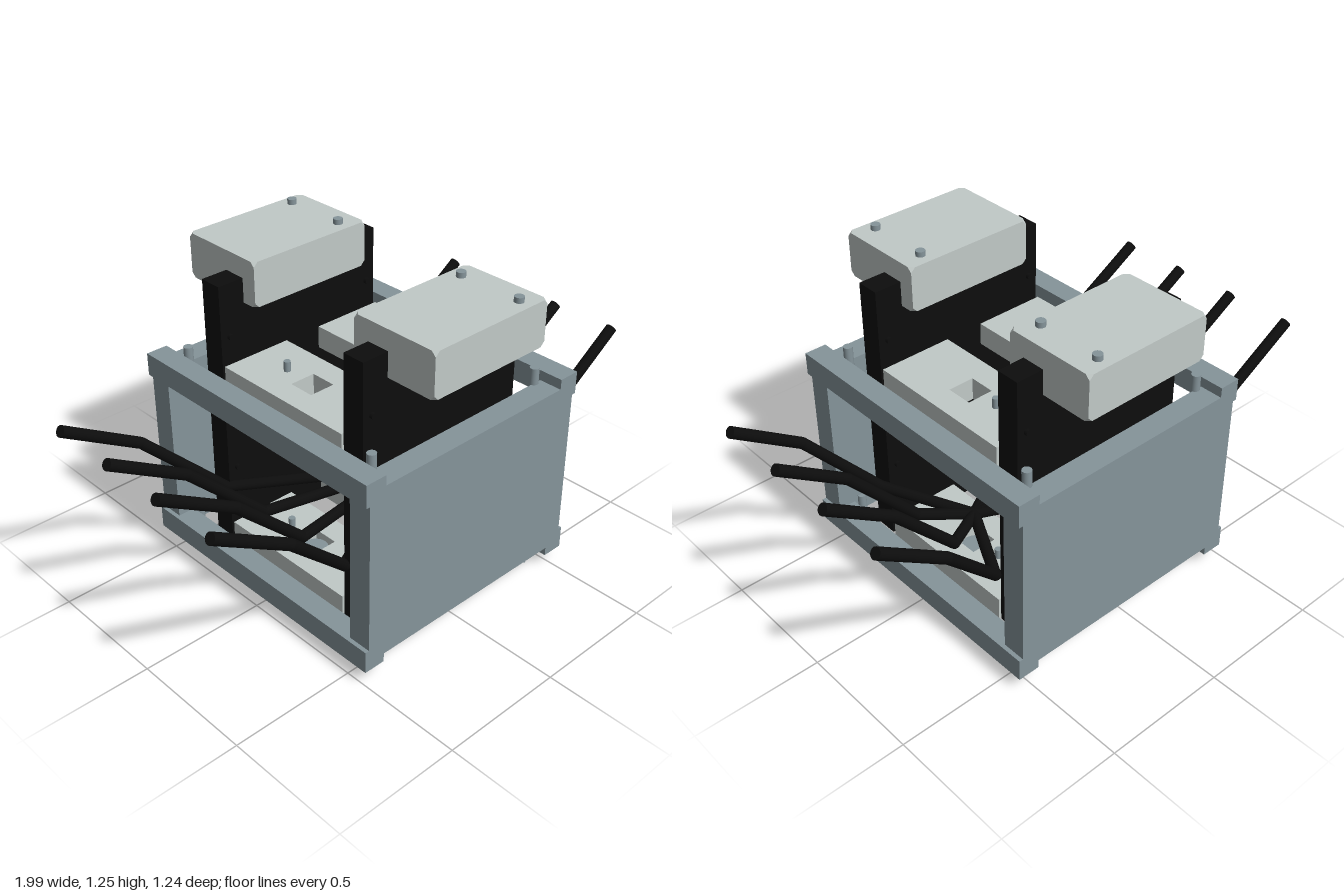
import * as THREE from 'three';
import { ConvexGeometry } from 'three/addons/geometries/ConvexGeometry.js';

const frameGrey = new THREE.MeshStandardMaterial({ name: 'frame grey', color: 0x85949a });
const paleGrey = new THREE.MeshStandardMaterial({ name: 'pale grey', color: 0xc1c9c7 });
const black = new THREE.MeshStandardMaterial({ name: 'black', color: 0x0d0d0d });

const CX = 0.0275; // middle of the frame in x

export function createModel() {
  const model = new THREE.Group();
  model.name = 'framedMechanism';

  const add = (name, geometry, material) => {
    const mesh = new THREE.Mesh(geometry, material);
    mesh.name = name;
    model.add(mesh);
    return mesh;
  };
  // Box given by its limits on each axis
  const box = (name, material, x0, x1, y0, y1, z0, z1) =>
    add(name, new THREE.BoxGeometry(x1 - x0, y1 - y0, z1 - z0), material)
      .position.set((x0 + x1) / 2, (y0 + y1) / 2, (z0 + z1) / 2);
  // Upright cylinder from y0 to y1
  const post = (name, material, r, x, y0, y1, z, sides = 20) =>
    add(name, new THREE.CylinderGeometry(r, r, y1 - y0, sides), material)
      .position.set(x, (y0 + y1) / 2, z);

  // Four long side rails
  for (const side of [-1, 1]) {
    const x = CX + side * 0.48;
    for (const y of [0.055, 0.75]) {
      box('sideRail', frameGrey, x - 0.044, x + 0.044, y, y + 0.09, -0.585, 0.585);
    }
  }

  for (const s of [-1, 1]) {
    // Thick end panels
    const panelZ = [0.49 * s, 0.585 * s].sort((a, b) => a - b);
    box('endPanel', frameGrey, -0.48, 0.535, 0.09, 0.8, ...panelZ);

    // Corner bolts, heads downward
    for (const x of [-0.38, 0.43]) {
      for (const [y0, y1] of [[0, 0.165], [0.7, 0.865]]) {
        post('boltHead', frameGrey, 0.032, x, y0, y0 + 0.025, s * 0.487, 6);
        post('boltShaft', frameGrey, 0.018, x, y0 + 0.02, y1, s * 0.487);
      }
    }

    // Tall black boards with through pins near their edges
    const boardZ = [0.322 * s, 0.414 * s].sort((a, b) => a - b);
    box('uprightBoard', black, -0.35, 0.405, 0.06, 1.155, ...boardZ);
    for (const x of [-0.31, 0.365]) {
      for (const y of [0.195, 0.383, 0.57, 0.945]) {
        const pin = add('boardPin', new THREE.CylinderGeometry(0.012, 0.012, 0.118, 12), black);
        pin.rotation.x = Math.PI / 2;
        pin.position.set(x, y, s * 0.368);
      }
    }

    // Head blocks with clipped corners, and their screws
    add('headBlock', clippedBox(0.535, 0.177, 0.366, 0.018), paleGrey)
      .position.set(0.0275, 1.146, s * 0.439);
    for (const z of [0.31, 0.57]) {
      post('headScrew', frameGrey, 0.018, 0.21, 1.225, 1.255, s * z);
    }
  }

  // Two plates above and two below, each with a square opening and a pin
  for (const [x0, x1] of [[-0.35, -0.055], [0.105, 0.405]]) {
    const cx = (x0 + x1) / 2;
    for (const y of [0.055, 0.75]) {
      add('slottedPlate', slottedPlate(x1 - x0, 0.62, 0.09, 0.105), paleGrey)
        .position.set(cx, y, 0);
      post('platePin', frameGrey, 0.013, cx, y + 0.08, y + 0.13, -0.135);
    }
    // Hollow boss and two screws under the lower plate
    const ring = [[0.042, 0.1], [0.042, 0.025], [0.066, 0.025], [0.066, 0.056]]
      .map(([r, y]) => new THREE.Vector2(r, y));
    add('bossRing', new THREE.LatheGeometry(ring, 32).toNonIndexed(), ringMaterial()).position.x = cx;
    post('bossCore', frameGrey, 0.05, cx, 0.075, 0.12, 0, 32);
    for (const s of [-1, 1]) post('bossScrew', frameGrey, 0.02, cx, 0.048, 0.06, s * 0.1);
  }

  // Eight bent legs meeting at one hub
  const hub = new THREE.Vector3(0.255, 0.272, 0);
  for (const s of [-1, 1]) {
    for (const [zOut, zIn] of [[0.413, 0.333], [0.135, 0.108]]) {
      for (const [tip, knee, ankle] of [[-0.985, -0.67, -0.36], [0.985, 0.71, 0.44]]) {
        const path = [
          new THREE.Vector3(tip, 0.793, s * zOut),
          new THREE.Vector3(knee, 0.606, s * zOut),
          new THREE.Vector3(ankle, 0.307, s * zIn),
          hub,
        ];
        add2(model, path, 0.022);
      }
    }
  }
  return model;
}

// Boss surfaces are open, so they show from both sides
let ringMat;
function ringMaterial() {
  if (!ringMat) {
    ringMat = frameGrey;
    ringMat.side = THREE.DoubleSide;
  }
  return ringMat;
}

// Leg of straight rods with ball joints
function add2(parent, path, r) {
  const leg = new THREE.Group();
  leg.name = 'bentLeg';
  for (let i = 0; i < path.length - 1; i++) {
    const dir = path[i + 1].clone().sub(path[i]);
    const rod = new THREE.Mesh(new THREE.CylinderGeometry(r, r, dir.length(), 16), black);
    rod.name = 'legRod';
    rod.position.copy(path[i]).addScaledVector(dir, 0.5);
    rod.quaternion.setFromUnitVectors(new THREE.Vector3(0, 1, 0), dir.normalize());
    const joint = new THREE.Mesh(new THREE.SphereGeometry(r, 16, 10), black);
    joint.name = 'legJoint';
    joint.position.copy(path[i + 1]);
    leg.add(rod, joint);
  }
  parent.add(leg);
}

// Box whose eight corners are cut off
function clippedBox(w, h, d, c) {
  const points = [];
  for (const x of [-1, 1]) for (const y of [-1, 1]) for (const z of [-1, 1]) {
    for (const cut of [[c, 0, 0], [0, c, 0], [0, 0, c]]) {
      points.push(new THREE.Vector3(
        x * (w / 2 - cut[0]), y * (h / 2 - cut[1]), z * (d / 2 - cut[2])));
    }
  }
  return new ConvexGeometry(points);
}

// Flat plate with a square opening, standing on y = 0
function slottedPlate(w, d, h, hole) {
  const rect = (path, a, b) => path.moveTo(-a, -b).lineTo(a, -b).lineTo(a, b).lineTo(-a, b).closePath();
  const shape = rect(new THREE.Shape(), w / 2, d / 2);
  shape.holes.push(rect(new THREE.Path(), hole / 2, hole / 2));
  return new THREE.ExtrudeGeometry(shape, { depth: h, bevelEnabled: false }).rotateX(-Math.PI / 2);
}
